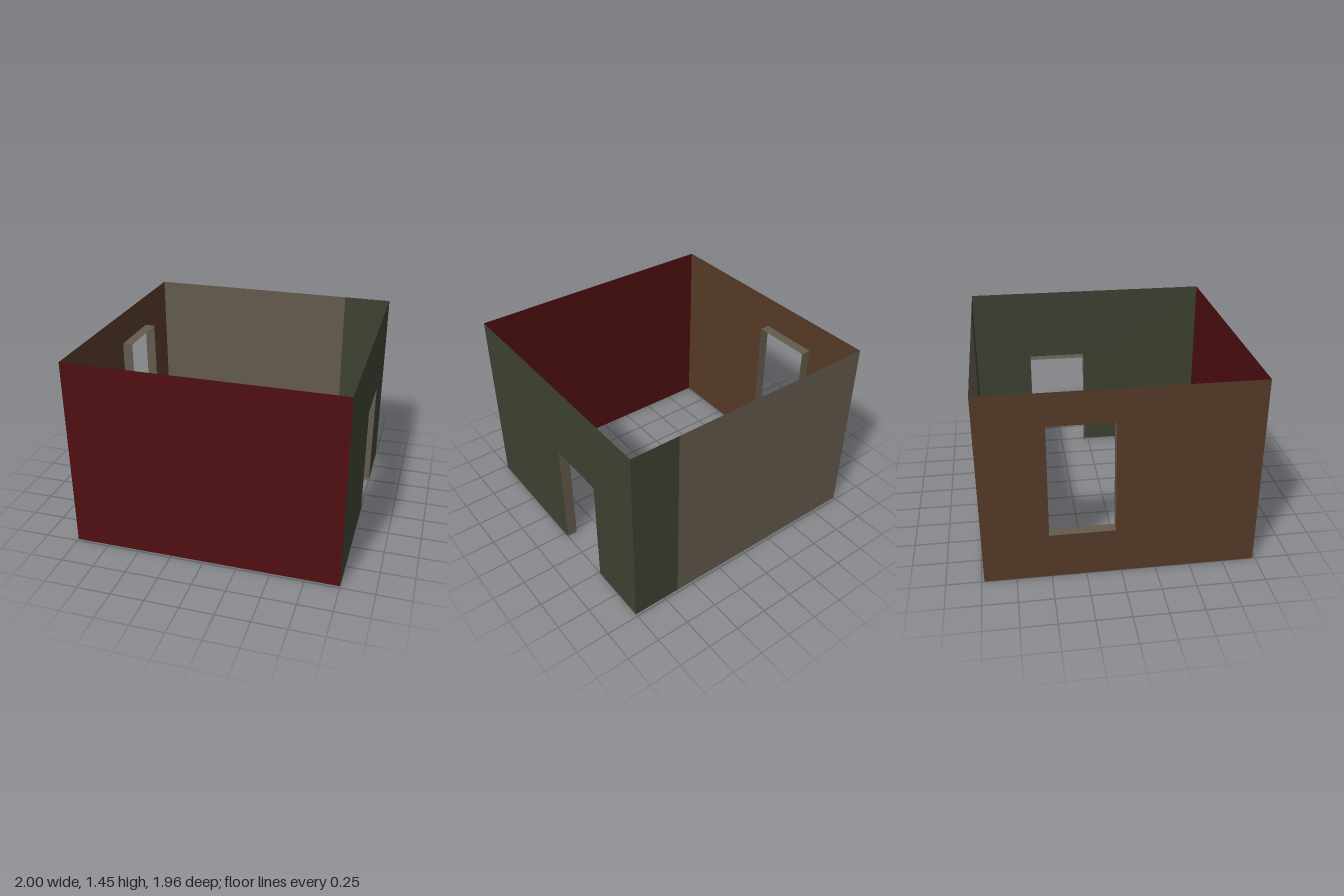
import * as THREE from 'three';

const W = 1, D = 0.98, H = 1.45;      // half width, half depth, wall height
const Z0 = -0.51, Z1 = -0.04;         // depth range of both openings
const REVEAL = 0.08;                  // how far the opening linings reach inward

const material = (name, color) => {
  const m = new THREE.MeshStandardMaterial({ color, side: THREE.DoubleSide });
  m.name = name;
  return m;
};

const polygon = (pts) => pts.map(([x, y]) => new THREE.Vector2(x, y));
const rect = (a, b, c, d) => [[a, c], [b, c], [b, d], [a, d]];

export function createModel() {
  const model = new THREE.Group();
  model.name = 'room';

  const red = material('dark red', 0x4f0e10);
  const green = material('dark green', 0x3c4232);
  const brown = material('brown', 0x563a27);
  const grey = material('warm grey', 0x635a4c);

  const add = (name, geometry, mat) => {
    const mesh = new THREE.Mesh(geometry, mat);
    mesh.name = name;
    model.add(mesh);
    return mesh;
  };

  // Front wall and the two colours of the back wall
  const flatWall = (name, x0, x1, z, mat) => {
    const g = new THREE.PlaneGeometry(x1 - x0, H);
    if (z < 0) g.rotateY(Math.PI);
    add(name, g.translate((x0 + x1) / 2, H / 2, z), mat);
  };
  flatWall('frontWall', -W, W, D, red);
  flatWall('backWall', -W, 0.63, -D, grey);
  flatWall('backWallCornerStrip', 0.63, W, -D, green);

  // Side walls: outlines drawn in (z, y), then turned into the side planes
  const sideWall = (name, shape, x, mat) =>
    add(name, new THREE.ShapeGeometry(shape).rotateY(-Math.PI / 2).translate(x, 0, 0), mat);

  const doorTop = 0.865, sill = 0.35, windowTop = 1.205;
  sideWall('doorWall', new THREE.Shape(polygon([
    [-D, 0], [Z0, 0], [Z0, doorTop], [Z1, doorTop], [Z1, 0], [D, 0], [D, H], [-D, H],
  ])), W, green);

  const windowWall = new THREE.Shape(polygon(rect(-D, D, 0, H)));
  windowWall.holes.push(new THREE.Path(polygon(rect(Z0, Z1, sill, windowTop))));
  sideWall('windowWall', windowWall, -W, brown);

  // Thin linings around the openings, reaching into the room
  const lining = (name, side, y0, y1, hasSill) => {
    const x = side * (W - REVEAL / 2);
    for (const z of [Z0, Z1]) {
      add(name + 'Jamb', new THREE.PlaneGeometry(REVEAL, y1 - y0).translate(x, (y0 + y1) / 2, z), grey);
    }
    for (const y of hasSill ? [y0, y1] : [y1]) {
      add(name + (y === y1 ? 'Head' : 'Sill'),
        new THREE.PlaneGeometry(REVEAL, Z1 - Z0).rotateX(-Math.PI / 2).translate(x, y, (Z0 + Z1) / 2), grey);
    }
  };
  lining('door', 1, 0, doorTop, false);
  lining('window', -1, sill, windowTop, true);

  return model;
}
